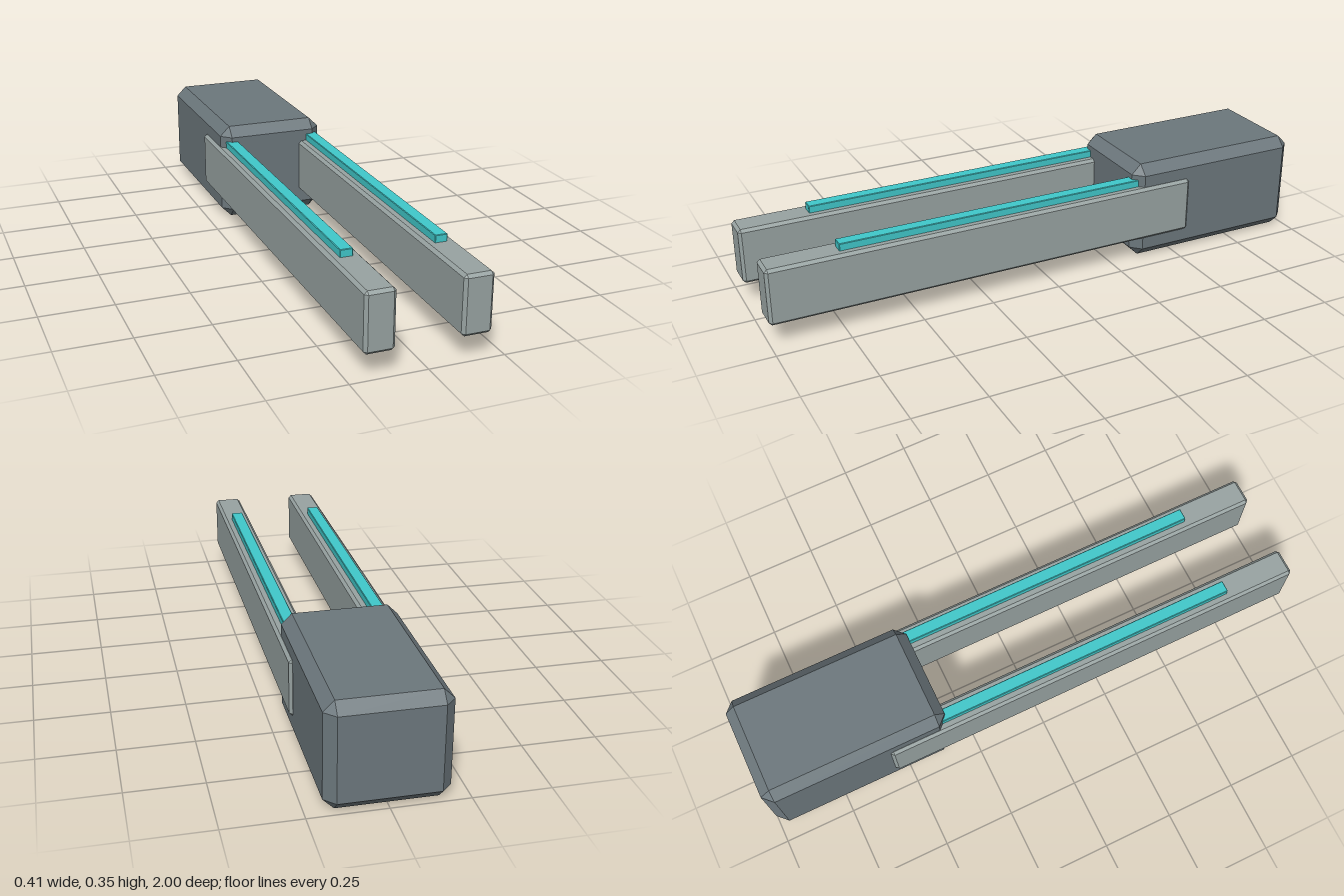
import * as THREE from 'three';
import { ConvexGeometry } from 'three/addons/geometries/ConvexGeometry.js';

// Box between two corners, with bevelled edges and cut corners
function bevelledBox(name, min, max, bevel, material) {
  const c = min.map((v, i) => (v + max[i]) / 2);
  const h = min.map((v, i) => (max[i] - v) / 2);
  const points = [];
  for (const sx of [-1, 1]) for (const sy of [-1, 1]) for (const sz of [-1, 1])
    for (let axis = 0; axis < 3; axis++) {
      const p = [sx, sy, sz].map((s, i) => s * (h[i] - (i === axis ? 0 : bevel)));
      points.push(new THREE.Vector3(...p));
    }
  const mesh = new THREE.Mesh(new ConvexGeometry(points), material);
  mesh.position.set(...c);
  mesh.name = name;
  return mesh;
}

export function createModel() {
  const darkGrey = new THREE.MeshStandardMaterial({ name: 'darkGrey', color: 0x6c777c });
  const lightGrey = new THREE.MeshStandardMaterial({ name: 'lightGrey', color: 0x98a3a2 });
  const cyan = new THREE.MeshStandardMaterial({ name: 'cyan', color: 0x40c8ca });

  const model = new THREE.Group();
  model.name = 'twinRailLauncher';

  // Rear housing
  model.add(bevelledBox('housing', [-0.194, 0, -1], [0.194, 0.355, -0.335], 0.035, darkGrey));

  // Mirrored rails, each with a glowing strip on top
  for (const [side, s] of [['left', 1], ['right', -1]]) {
    const rail = bevelledBox(side + 'Rail', [0.106, 0.08, -0.553], [0.205, 0.278, 1], 0.01, lightGrey);
    const strip = bevelledBox(side + 'Strip', [0.135, 0.262, -0.355], [0.177, 0.303, 0.75], 0.002, cyan);
    rail.position.x *= s;
    strip.position.x *= s;
    model.add(rail, strip);
  }
  return model;
}
